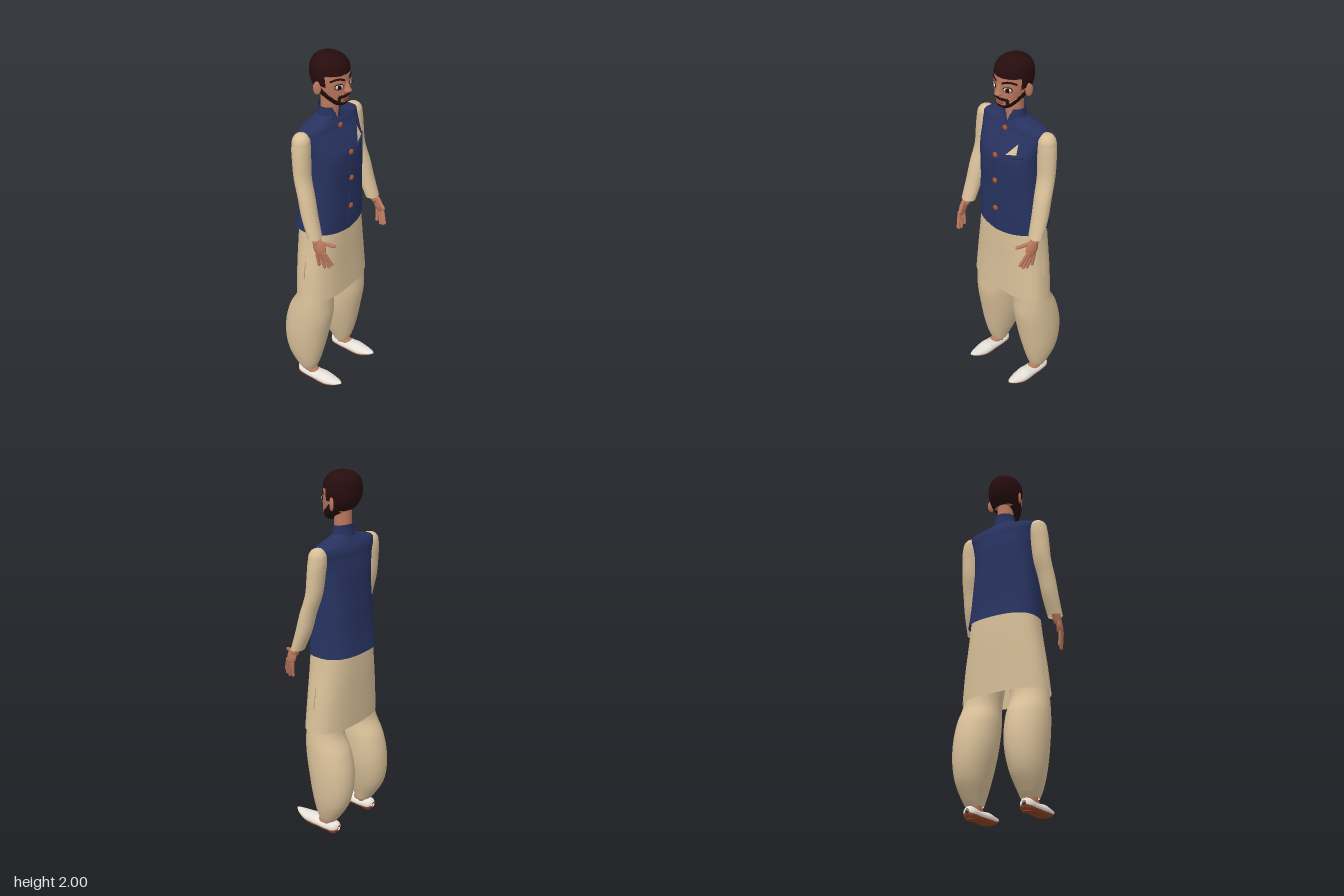
import * as THREE from 'three';

const mat = (name, color) => {
  const m = new THREE.MeshStandardMaterial({ color, side: THREE.DoubleSide });
  m.name = name;
  return m;
};
const M = {
  skin: mat('skin', 0xb9775c), hair: mat('hair', 0x260c0d), navy: mat('navy cloth', 0x27325f),
  tan: mat('tan cloth', 0xd8bf98), white: mat('shoe white', 0xe6e2da), button: mat('button copper', 0xa9542b),
  sole: mat('sole leather', 0x8f4526), eye: mat('eye white', 0xe9e2dc), iris: mat('iris', 0x1c0d0a),
  lip: mat('lip', 0x8f4f45),
};

// Smooth profile through sections [y, cx, cz, rx, rz]
const profile = (sections) => {
  const it = new THREE.CubicInterpolant(sections.map((p) => p[0]), sections.flatMap((p) => p.slice(1)), 4, new Float64Array(4));
  return (y) => Array.from(it.evaluate(y));
};

// Horizontal superellipse rings joined into a skin; arc leaves a gap, tweak moves points
function loft(sections, { s = 1, seg = 40, sub = 5, e = 2, arc = null, tweak = null } = {}) {
  const at = profile(sections), ys = [sections[0][0]];
  for (let i = 1; i < sections.length; i++) {
    for (let k = 1; k <= sub; k++) ys.push(THREE.MathUtils.lerp(sections[i - 1][0], sections[i][0], k / sub));
  }
  const pos = [], idx = [], cols = arc ? seg + 1 : seg;
  const pw = (v) => Math.sign(v) * Math.abs(v) ** (2 / e);
  ys.forEach((y, r) => {
    const [cx, cz, rx, rz] = at(y);
    const [a0, a1] = arc ? arc(y) : [0, Math.PI * 2];
    for (let j = 0; j < cols; j++) {
      const a = a0 + (a1 - a0) * j / seg;
      const p = new THREE.Vector3(cx * s + Math.max(rx, 0.001) * pw(Math.cos(a)), y, cz + Math.max(rz, 0.001) * pw(Math.sin(a)));
      if (tweak) tweak(p);
      pos.push(p.x, p.y, p.z);
    }
    if (!r) return;
    for (let j = 0; j < seg; j++) {
      const k = (j + 1) % cols, lo = (r - 1) * cols, hi = r * cols;
      idx.push(lo + j, hi + j, lo + k, hi + j, hi + k, lo + k);
    }
  });
  const g = new THREE.BufferGeometry();
  g.setAttribute('position', new THREE.Float32BufferAttribute(pos, 3));
  g.setIndex(idx);
  g.computeVertexNormals();
  return g;
}

// Front surface height of a lofted body at (x, y)
const frontZ = (at, e) => (x, y) => {
  const [, cz, rx, rz] = at(y);
  return cz + rz * Math.max(0, 1 - Math.abs(x / rx) ** e) ** (1 / e);
};

// Sort triangles into material groups by a rule on their centre
function paint(g, rule, count) {
  const p = g.attributes.position, old = g.index.array;
  const bins = Array.from({ length: count }, () => []);
  for (let i = 0; i < old.length; i += 3) {
    const t = [old[i], old[i + 1], old[i + 2]];
    const mean = (f) => (f(t[0]) + f(t[1]) + f(t[2])) / 3;
    bins[rule(mean((k) => p.getX(k)), mean((k) => p.getY(k)), mean((k) => p.getZ(k)))].push(...t);
  }
  g.setIndex(bins.flat());
  let start = 0;
  bins.forEach((b, i) => { g.addGroup(start, b.length, i); start += b.length; });
  return g;
}

const HEAD = [[1.738, 0, .05, .015, .012], [1.745, 0, .05, .033, .028], [1.76, 0, .042, .05, .044], [1.79, 0, .02, .07, .07],
  [1.83, 0, 0, .084, .09], [1.87, 0, -.01, .091, .1], [1.91, 0, -.013, .092, .099], [1.95, 0, -.015, .083, .09],
  [1.98, 0, -.018, .058, .063], [1.994, 0, -.018, .027, .03], [1.999, 0, -.018, .003, .003]];
const VEST = [[1.05, 0, -.018, .205, .137], [1.15, 0, -.01, .197, .13], [1.3, 0, -.005, .187, .125], [1.4, 0, 0, .183, .123],
  [1.5, 0, -.002, .186, .117], [1.57, 0, -.015, .198, .093], [1.61, 0, -.025, .208, .078], [1.638, 0, -.025, .197, .066],
  [1.652, 0, -.024, .14, .058], [1.668, 0, -.022, .08, .052], [1.685, 0, -.02, .05, .046]];
const KURTA = [[.63, 0, -.003, .25, .122], [.8, 0, -.008, .232, .122], [.95, 0, -.01, .21, .124], [1.12, 0, -.01, .19, .121]];
const SLEEVE = [[1.09, .253, .083, .042, .034], [1.2, .245, .045, .046, .042], [1.3, .238, .02, .048, .042],
  [1.4, .228, -.01, .05, .042], [1.5, .222, -.02, .052, .045], [1.58, .216, -.025, .05, .047],
  [1.62, .214, -.025, .04, .039], [1.637, .212, -.025, .02, .02], [1.642, .21, -.025, .002, .002]];
const LEG = [[.07, .158, -.045, .046, .044], [.1, .16, -.05, .058, .062], [.2, .158, -.065, .088, .105], [.35, .15, -.06, .11, .13],
  [.5, .145, -.033, .11, .128], [.6, .142, -.008, .102, .103], [.75, .12, 0, .1, .1]];
// Shoe sections run heel to toe: [z, x, height, half width, half height]
const SHOE = [[-.115, .16, .036, .012, .016], [-.1, .16, .035, .031, .03], [-.05, .16, .031, .04, .029], [.02, .16, .033, .042, .03],
  [.06, .16, .035, .044, .033], [.1, .16, .035, .041, .028], [.14, .16, .041, .031, .019], [.17, .16, .048, .018, .011], [.188, .16, .054, .004, .004]];

export function createModel() {
  const root = new THREE.Group();
  const add = (name, geo, material) => {
    const m = new THREE.Mesh(geo, material);
    m.name = name;
    root.add(m);
    return m;
  };
  const ball = (name, material, p, r, ry = 0, rx = 0) => {
    const m = add(name, new THREE.SphereGeometry(1, 20, 14), material);
    m.position.set(...p);
    m.scale.set(...r);
    m.rotation.set(rx, ry, 0);
  };
  const limb = (name, material, a, b, r) => {
    const p = new THREE.Vector3(...a), d = new THREE.Vector3(...b).sub(p);
    const m = add(name, new THREE.CapsuleGeometry(r, d.length(), 5, 12), material);
    m.position.copy(p).addScaledVector(d, .5);
    m.quaternion.setFromUnitVectors(new THREE.Vector3(0, 1, 0), d.normalize());
  };
  const cord = (name, material, pts, r) =>
    add(name, new THREE.TubeGeometry(new THREE.CatmullRomCurve3(pts.map((p) => new THREE.Vector3(...p))), 24, r, 6), material);

  // Head: skin, cropped hair with sideburns, beard and lips
  const faceRule = (x, y, z) => {
    const ax = Math.abs(x);
    if (y > 1.908 || (z < -.035 && y > 1.8) || (z < .025 && y > 1.85)) return 1;
    if (z > .05 && ax < .023 && y > 1.768 && y < 1.782) return 2;
    if (z > .03 && ax < .047 && y > 1.788 && y < 1.805) return 1;
    if (z > .05 && ax > .036 && ax < .05 && y < 1.8) return 1;
    return z > -.035 && y < 1.787 + (.06 - z) * .9 ? 1 : 0;
  };
  const swell = (p) => {
    if (faceRule(p.x, p.y, p.z) === 1) { p.x *= 1.03; p.z += (p.z > -.01 ? 1 : -1) * .002; }
  };
  add('head', paint(loft(HEAD, { seg: 112, sub: 9, e: 2.1, tweak: swell }), faceRule, 3), [M.skin, M.hair, M.lip]);
  add('nose', loft([[1.811, 0, .092, .01, .008], [1.822, 0, .094, .021, .021], [1.84, 0, .09, .014, .018], [1.872, 0, .083, .009, .008]], { seg: 20 }), M.skin);
  const neck = add('neck', new THREE.CylinderGeometry(.044, .048, .15, 32), M.skin);
  neck.position.set(0, 1.73, -.015);
  const face = frontZ(profile(HEAD), 2.1);

  // Vest with dipped front hem, stand collar, front edge and buttons
  add('vest', loft(VEST, { seg: 72, sub: 6, e: 2.5, tweak: (p) => {
    if (p.z > 0 && p.y < 1.15) p.y -= .02 * Math.max(0, 1 - Math.abs(p.x) / .17) * (1.15 - p.y) * 10;
  } }), M.navy);
  add('collar', loft([[1.66, 0, -.02, .066, .055], [1.695, 0, -.02, .061, .051], [1.722, 0, -.022, .059, .05]], {
    arc: (y) => { const g = .03 + (y - 1.66) * 5; return [Math.PI / 2 + g, Math.PI * 2.5 - g]; },
    tweak: (p) => { p.y -= p.z * .12; },
  }), M.navy);
  const chest = frontZ(profile(VEST), 2.5);
  cord('vestFrontEdge', M.navy, [1.04, 1.15, 1.3, 1.45, 1.55, 1.63, 1.67].map((y) => [-.012, y, chest(0, Math.max(y, 1.05))]), .003);
  [1.62, 1.49, 1.34, 1.17].forEach((y) => ball('button', M.button, [0, y, chest(0, y) + .004], [.015, .015, .009]));

  // Breast pocket welt and folded pocket square
  const patch = (name, material, pts, lift) => {
    const g = new THREE.BufferGeometry();
    g.setAttribute('position', new THREE.Float32BufferAttribute(pts.flatMap(([x, y]) => [x, y, chest(x, y) + lift]), 3));
    g.setIndex(pts.length === 3 ? [0, 1, 2] : [0, 1, 2, 0, 2, 3]);
    g.computeVertexNormals();
    add(name, g, material);
  };
  patch('pocketSquare', M.tan, [[.065, 1.515], [.122, 1.527], [.113, 1.578]], .007);
  cord('pocketWelt', M.navy, [.05, .08, .11, .14, .16].map((x) => [x, 1.497 + (x - .05) * .2, chest(x, 1.497 + (x - .05) * .2)]), .006);

  // Long shirt: front and back panels with side slits opening towards the hem
  [['shirtFront', 0], ['shirtBack', Math.PI]].forEach(([name, a]) => add(name, loft(KURTA, {
    seg: 48, sub: 8, e: 2.5,
    arc: (y) => { const g = Math.max(0, .9 - y) * .12; return [a + g, a + Math.PI - g]; },
  }), M.tan));

  for (const s of [1, -1]) {
    const side = s > 0 ? 'left' : 'right';

    // Face details
    const x = .046 * s, z = face(x, 1.852), turn = .5 * s;
    const onEye = (d) => [x + Math.sin(turn) * d, 1.852, z + Math.cos(turn) * d];
    ball(side + 'EyeRim', M.hair, onEye(-.002), [.025, .0165, .006], turn);
    ball(side + 'EyeWhite', M.eye, onEye(.001), [.021, .012, .006], turn);
    ball(side + 'Iris', M.iris, onEye(.004), [.0115, .0115, .005], turn);
    cord(side + 'Brow', M.hair, [[.018, 1.881], [.035, 1.889], [.055, 1.892], [.078, 1.88]].map(([bx, y]) => [bx * s, y, face(bx, y)]), .0055);
    ball(side + 'Ear', M.skin, [.096 * s, 1.838, -.018], [.008, .035, .02], -.45 * s);

    // Sleeve and hand
    add(side + 'Sleeve', loft(SLEEVE, { s, seg: 32 }), M.tan);
    const limbs = (name, a, b, r) => limb(side + name, M.skin, [a[0] * s, a[1], a[2]], [b[0] * s, b[1], b[2]], r);
    limbs('Wrist', [.254, 1.13, .072], [.258, 1.07, .1], .023);
    ball(side + 'Palm', M.skin, [.261 * s, 1.043, .118], [.017, .05, .034], -.3 * s, -.35);
    limbs('Thumb', [.25, 1.07, .13], [.219, 1.056, .182], .0095);
    [[.15, .18, .95], [.137, .166, .935], [.122, .144, .928], [.107, .114, .935]].forEach(([z0, z1, y1], i) =>
      limbs('Finger', [.26 + i * .003, 1.02 - i * .005, z0], [.238 + i * .007, y1, z1], .0085));

    // Full trouser leg, ankle and foot
    add(side + 'TrouserLeg', loft(LEG, { s, seg: 48, sub: 8, e: 2.1 }), M.tan);
    limbs('Ankle', [.158, .12, -.045], [.158, .055, -.04], .034);
    ball(side + 'Foot', M.skin, [.16 * s, .052, -.02], [.032, .024, .055], 0, .2);

    // Slipper with upturned toe, leather sole and low heel
    const shoe = SHOE.map(([h, cx, y, w, t]) => [h, cx, -y, w, t]);
    const sole = SHOE.map(([h, cx, y, w, t]) => [h, cx, -(y - t * .4), w * .96, t * .66]);
    add(side + 'Shoe', loft(shoe, { s, seg: 32 }).rotateX(Math.PI / 2), M.white);
    add(side + 'Sole', loft(sole, { s, seg: 32 }).rotateX(Math.PI / 2), M.sole);
    const heel = add(side + 'Heel', new THREE.CylinderGeometry(.028, .026, .016, 24), M.sole);
    heel.position.set(.16 * s, .008, -.075);
  }
  return root;
}
